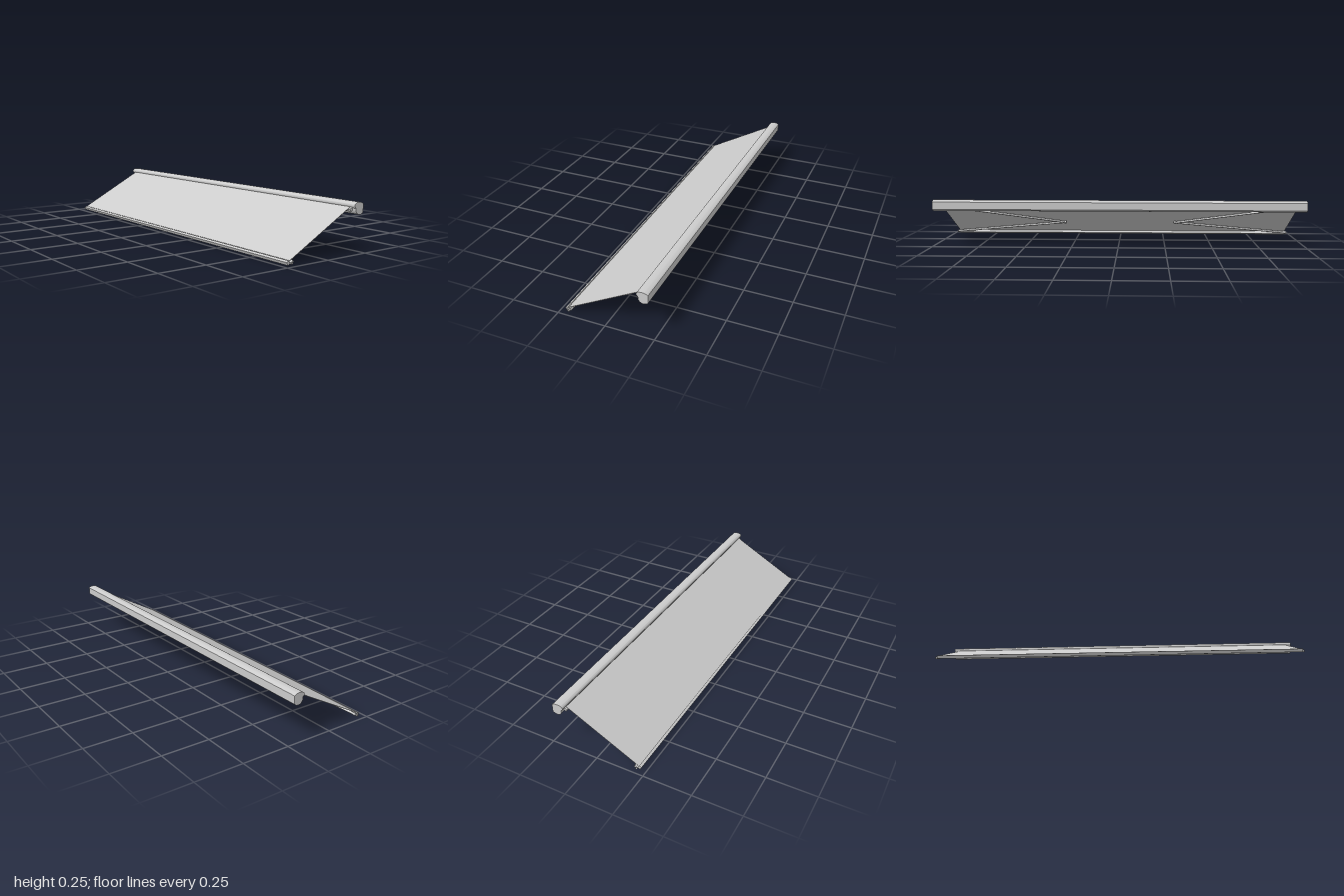
import * as THREE from 'three';
import { toCreasedNormals } from 'three/addons/utils/BufferGeometryUtils.js';

export function createModel() {
  const model = new THREE.Group();
  model.name = 'retractableAwning';
  const grey = new THREE.MeshStandardMaterial({ color: 0xcccccc });
  grey.name = 'light grey';

  const add = (parent, name, geometry, x = 0, y = 0, z = 0) => {
    const mesh = new THREE.Mesh(geometry, grey);
    mesh.name = name;
    mesh.position.set(x, y, z);
    parent.add(mesh);
    return mesh;
  };

  // Cassette: rounded wall housing, profile in (z, y) swept along x
  const profile = new THREE.Shape();
  profile.moveTo(-0.226, 0.201);
  profile.lineTo(-0.226, 0.24);
  profile.bezierCurveTo(-0.216, 0.252, -0.184, 0.253, -0.172, 0.243);
  profile.quadraticCurveTo(-0.166, 0.236, -0.169, 0.23);
  profile.lineTo(-0.177, 0.221);
  profile.lineTo(-0.177, 0.209);
  profile.bezierCurveTo(-0.184, 0.186, -0.212, 0.185, -0.226, 0.201);
  const cassette = new THREE.ExtrudeGeometry(profile, { depth: 2, bevelEnabled: false, curveSegments: 10 });
  cassette.translate(0, 0, -1).rotateY(-Math.PI / 2);
  add(model, 'cassette', toCreasedNormals(cassette, 0.5));

  // Sloping assembly: local +z runs down towards the front, local y is the cloth normal
  const canopy = new THREE.Group();
  canopy.name = 'canopy';
  canopy.position.set(0, 0.124, 0.019);
  canopy.rotation.x = 0.493;
  model.add(canopy);

  add(canopy, 'fabric', new THREE.BoxGeometry(1.94, 0.002, 0.43));
  add(canopy, 'frontBar', new THREE.BoxGeometry(1.94, 0.017, 0.014), 0, -0.0053, 0.2265);
  add(canopy, 'frontBarChannel', new THREE.BoxGeometry(1.964, 0.012, 0.007), 0, -0.009, 0.2165);

  // Folding arms: two tubes per side meeting at an inward elbow
  const armY = -0.0095;
  const addTube = (parent, name, a, b) => {
    const dir = b.clone().sub(a);
    const mid = a.clone().add(b).multiplyScalar(0.5);
    const tube = add(parent, name, new THREE.CylinderGeometry(0.006, 0.006, dir.length(), 16), mid.x, mid.y, mid.z);
    tube.quaternion.setFromUnitVectors(new THREE.Vector3(0, 1, 0), dir.normalize());
  };
  for (const side of [1, -1]) {
    const arm = new THREE.Group();
    arm.name = side > 0 ? 'leftArm' : 'rightArm';
    canopy.add(arm);
    const shoulder = new THREE.Vector3(side * 0.965, armY, -0.205);
    const elbow = new THREE.Vector3(side * 0.315, armY, 0.046);
    const wrist = new THREE.Vector3(side * 0.965, armY, 0.207);
    addTube(arm, 'upperArm', shoulder, elbow);
    addTube(arm, 'forearm', elbow, wrist);
    add(arm, 'elbowJoint', new THREE.CylinderGeometry(0.007, 0.007, 0.013, 16), elbow.x, armY, elbow.z);
    add(arm, 'shoulderBracket', new THREE.BoxGeometry(0.024, 0.013, 0.022), side * 0.967, armY, -0.212);
    add(arm, 'wristBracket', new THREE.BoxGeometry(0.02, 0.011, 0.012), side * 0.967, armY, 0.208);
  }
  return model;
}
